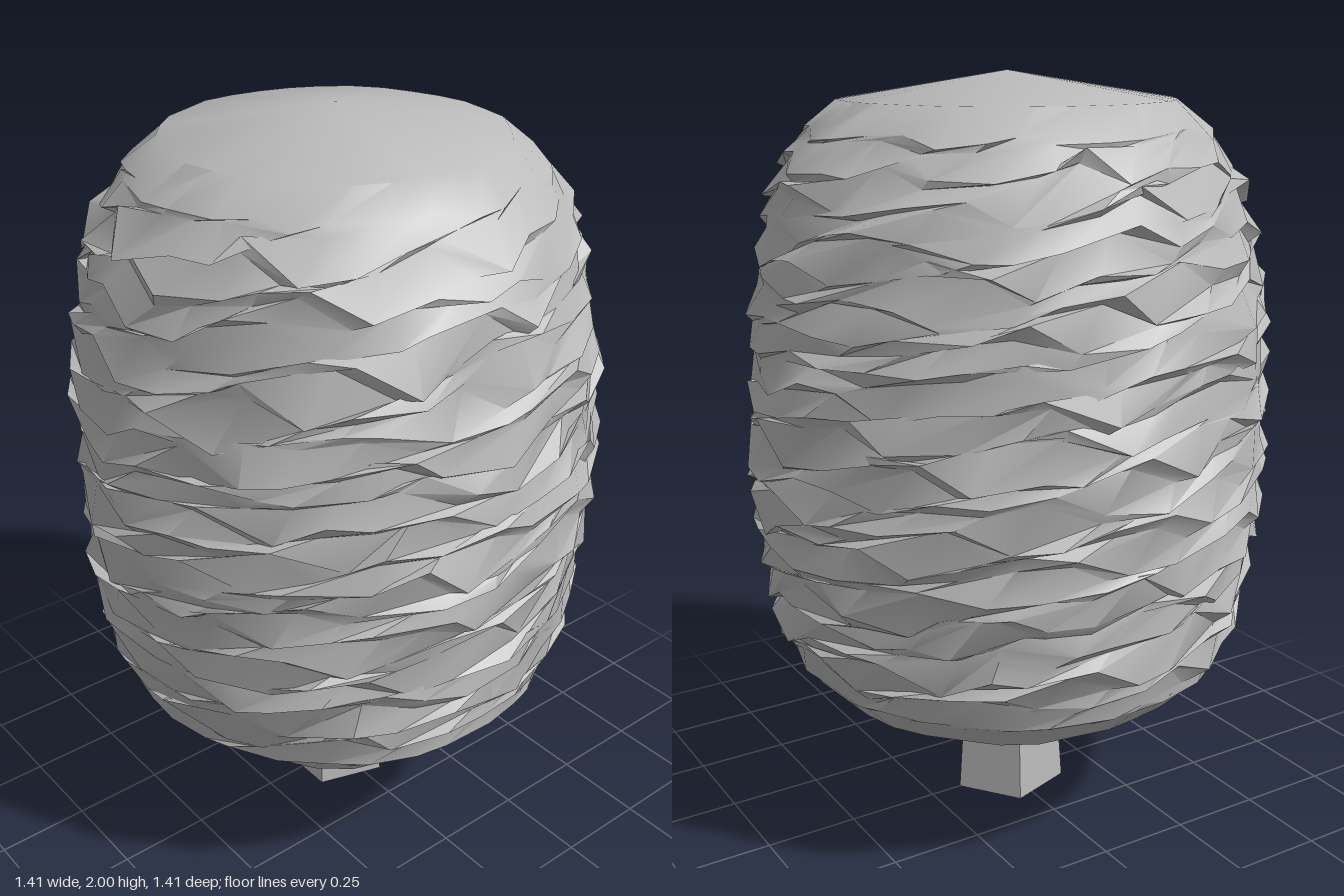
import * as THREE from 'three';
import { toCreasedNormals } from 'three/addons/utils/BufferGeometryUtils.js';

const SEGMENTS = 32;
const LAYERS = 20;

function seeded(seed) {
  return () => {
    seed = (seed * 1664525 + 1013904223) % 4294967296;
    return seed / 4294967296;
  };
}

// Crown outline from the lower rim to the upper rim: radius, height
const outline = [
  [0.5, 0.36], [0.59, 0.44], [0.645, 0.6], [0.67, 0.8], [0.685, 1.0], [0.68, 1.2],
  [0.67, 1.4], [0.645, 1.55], [0.605, 1.72], [0.53, 1.85], [0.43, 1.93],
];

function radiusAt(y) {
  for (let i = 1; i < outline.length; i++) {
    const [r0, y0] = outline[i - 1], [r1, y1] = outline[i];
    if (y <= y1) return r0 + (r1 - r0) * Math.max(0, (y - y0) / (y1 - y0));
  }
  return 0.43;
}

// Closed crown made of ragged leaf layers that wind up to the right
function crownGeometry() {
  const random = seeded(11);
  const positions = [], index = [];
  let rings = 0;

  const addRing = (twist, place) => {
    for (let i = 0; i < SEGMENTS; i++) {
      const [r, y, shift] = place(i);
      const a = ((i + twist + shift) / SEGMENTS) * Math.PI * 2;
      positions.push(r * Math.sin(a), y, r * Math.cos(a));
    }
    rings++;
  };

  addRing(0, () => [0.495 + random() * 0.02, 0.36, 0]);
  for (let k = 0; k < LAYERS; k++) {
    const base = 0.45 + (k / (LAYERS - 1)) * 1.41;
    const phase = Math.floor(random() * 4);
    const twist = k * 0.7;
    const calm = k === 0 || k === LAYERS - 1 ? 0.35 : 1;
    const rise = Array.from({ length: SEGMENTS }, (_, i) =>
      calm * ((((i + phase) % 4) / 3 - 0.5) * 0.06 + (random() - 0.5) * 0.035));
    // tucked lower ring, then the lip that juts out above it
    addRing(twist, (i) => {
      const y = base + rise[i] - 0.016;
      return [radiusAt(y) - 0.012 * random(), y, (random() - 0.5) * 0.5];
    });
    addRing(twist + 0.25, (i) => {
      const y = base + rise[i] + calm * (random() - 0.45) * 0.04;
      return [radiusAt(y) + calm * (random() * 0.034 - 0.006), y, (random() - 0.5) * 0.6];
    });
  }
  addRing(LAYERS * 0.7, () => [0.425 + random() * 0.015, 1.93, 0]);

  for (let j = 0; j < rings - 1; j++) {
    for (let i = 0; i < SEGMENTS; i++) {
      const n = (i + 1) % SEGMENTS;
      const a = j * SEGMENTS + i, b = j * SEGMENTS + n;
      const c = a + SEGMENTS, d = b + SEGMENTS;
      index.push(a, b, d, a, d, c);
    }
  }

  // shallow cones close the underside and the top
  const bottom = rings * SEGMENTS, top = bottom + 1, last = (rings - 1) * SEGMENTS;
  positions.push(0, 0.32, 0, 0, 2, 0);
  for (let i = 0; i < SEGMENTS; i++) {
    const n = (i + 1) % SEGMENTS;
    index.push(bottom, n, i, top, last + i, last + n);
  }

  const geometry = new THREE.BufferGeometry();
  geometry.setAttribute('position', new THREE.Float32BufferAttribute(positions, 3));
  geometry.setIndex(index);
  return toCreasedNormals(geometry, 0.6);
}

export function createModel() {
  const tree = new THREE.Group();
  tree.name = 'tree';

  const grey = new THREE.MeshStandardMaterial({ color: 0xbbbbbb });
  grey.name = 'plain grey';
  grey.side = THREE.DoubleSide;

  const crown = new THREE.Mesh(crownGeometry(), grey);
  crown.name = 'crown';
  tree.add(crown);

  // Five-sided tapering trunk with a flat side to the front
  const trunkGeometry = toCreasedNormals(
    new THREE.CylinderGeometry(0.135, 0.16, 0.36, 5, 1, false, Math.PI / 5), 0.3);
  const trunk = new THREE.Mesh(trunkGeometry, grey);
  trunk.name = 'trunk';
  trunk.position.y = 0.18;
  tree.add(trunk);

  return tree;
}
